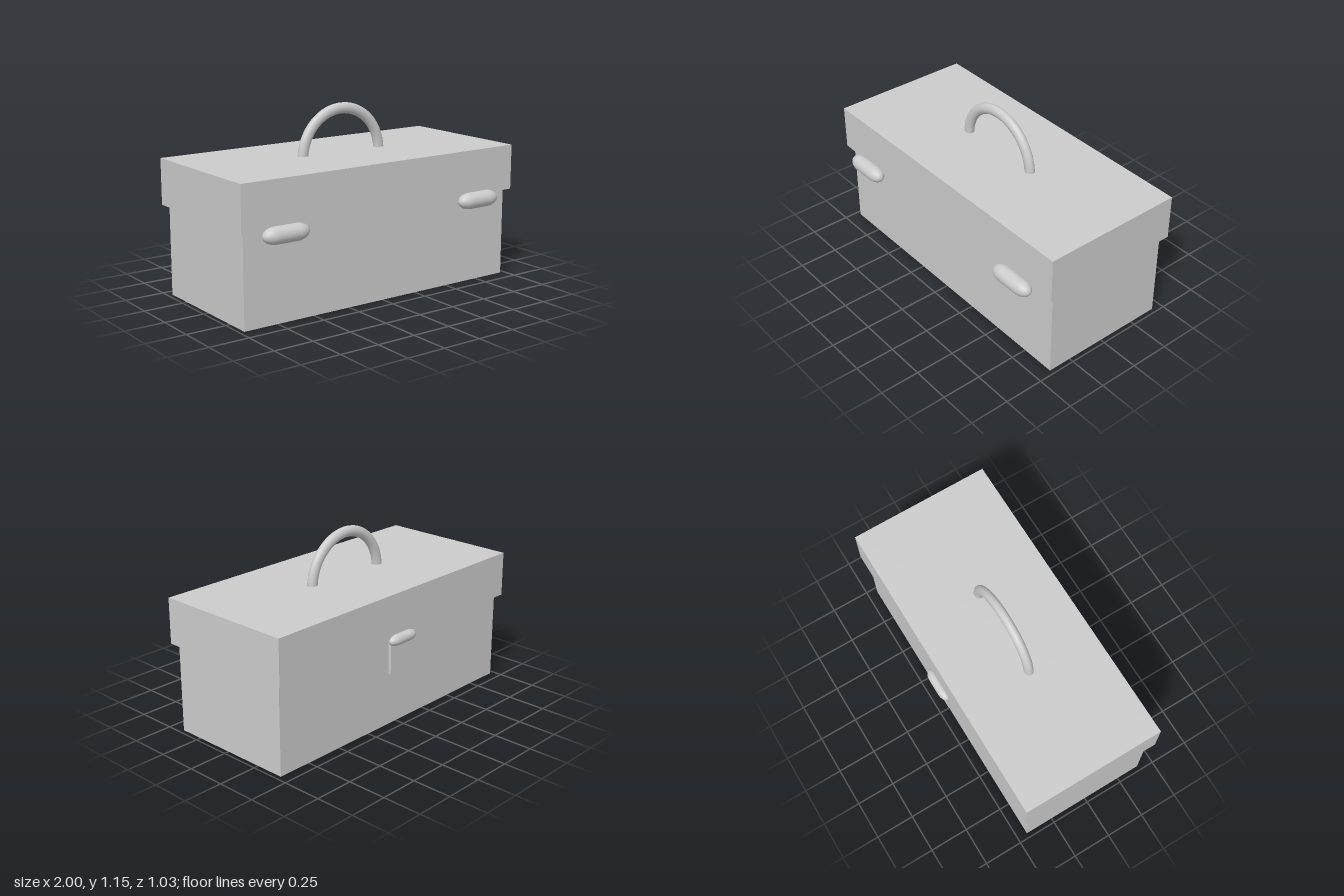
import * as THREE from 'three';

const material = new THREE.MeshStandardMaterial({ color: 0xcccccc });

export function createModel() {
  const model = new THREE.Group();

  const add = (name, geometry, x, y, z) => {
    const mesh = new THREE.Mesh(geometry, material);
    mesh.name = name;
    mesh.position.set(x, y, z);
    model.add(mesh);
    return mesh;
  };

  // Barrel lying along x: straight middle with elongated round ends
  const barrel = (halfLength, halfMiddle, radius) => {
    const cap = halfLength - halfMiddle;
    const points = [];
    for (let i = 0; i <= 10; i++) {
      const a = (i / 10) * Math.PI / 2;
      points.push(new THREE.Vector2(radius * Math.sin(a), -halfMiddle - cap * Math.cos(a)));
    }
    const mirrored = points.map((p) => new THREE.Vector2(p.x, -p.y)).reverse();
    return new THREE.LatheGeometry([...points, ...mirrored], 32).rotateZ(Math.PI / 2);
  };

  // Box and overhanging lid
  add('body', new THREE.BoxGeometry(1.94, 0.56, 0.836), 0, 0.28, -0.016);
  add('lid', new THREE.BoxGeometry(2, 0.285, 0.91), 0, 0.7025, -0.016);

  // Arched carrying handle, slightly flattened front to back
  const handle = add('handle', new THREE.TorusGeometry(0.286, 0.034, 20, 48, Math.PI), 0, 0.826, -0.016);
  handle.scale.z = 0.85;

  // Pair of barrel hinges on the front
  add('rightHinge', barrel(0.152, 0.068, 0.051), -0.727, 0.535, 0.463);
  add('leftHinge', barrel(0.152, 0.068, 0.051), 0.697, 0.535, 0.463);

  // Latch on the back: barrel pivot with a hanging plate
  add('latchPivot', barrel(0.114, 0.05, 0.034), 0.002, 0.559, -0.479);
  add('latchPlate', new THREE.BoxGeometry(0.196, 0.2, 0.019), 0.002, 0.45, -0.467);

  return model;
}
